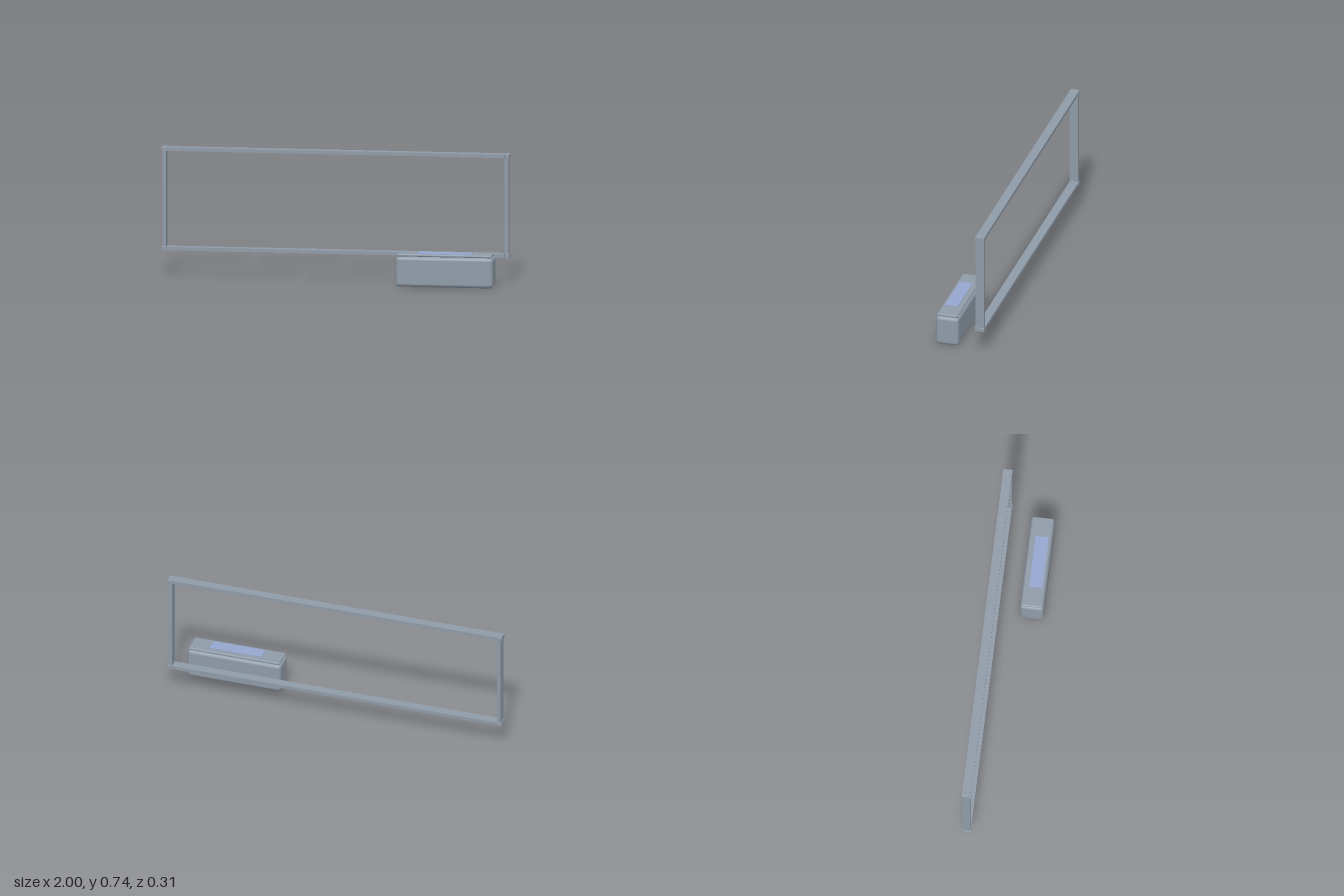
import * as THREE from 'three';
import { RoundedBoxGeometry } from 'three/addons/geometries/RoundedBoxGeometry.js';

export function createModel() {
  const model = new THREE.Group();
  const grey = new THREE.MeshStandardMaterial({ color: 0x8f9ba8 });
  grey.name = 'steel grey';
  const blue = new THREE.MeshStandardMaterial({ color: 0x95a5cf });
  blue.name = 'pale blue';

  const add = (parent, name, geometry, material, x, y, z) => {
    const mesh = new THREE.Mesh(geometry, material);
    mesh.name = name;
    mesh.position.set(x, y, z);
    parent.add(mesh);
  };

  // Upright rectangular frame: rails, posts and slightly proud corner caps
  const frame = new THREE.Group();
  frame.name = 'frame';
  const z = -0.125;
  const railY = { lower: 0.154, upper: 0.727 };
  for (const [level, y] of Object.entries(railY)) {
    add(frame, level + 'Rail', new THREE.BoxGeometry(1.95, 0.02, 0.052), grey, 0, y, z);
    for (const side of [-1, 1]) {
      add(frame, level + (side > 0 ? 'Left' : 'Right') + 'Corner',
        new RoundedBoxGeometry(0.029, 0.024, 0.056, 2, 0.002), grey, side * 0.9855, y, z);
    }
  }
  for (const side of [-1, 1]) {
    add(frame, (side > 0 ? 'left' : 'right') + 'Post',
      new THREE.BoxGeometry(0.021, 0.56, 0.05), grey, side * 0.984, 0.4405, z);
  }
  model.add(frame);

  // Rounded case with a thin lid and an inset panel on top
  const box = new THREE.Group();
  box.name = 'case';
  add(box, 'caseBody', new RoundedBoxGeometry(0.56, 0.174, 0.136, 4, 0.021), grey, 0.66, 0.088, 0.085);
  add(box, 'caseLid', new RoundedBoxGeometry(0.544, 0.015, 0.122, 4, 0.007), grey, 0.66, 0.183, 0.085);
  add(box, 'topPanel', new THREE.BoxGeometry(0.31, 0.004, 0.076), blue, 0.66, 0.191, 0.094);
  model.add(box);

  return model;
}
